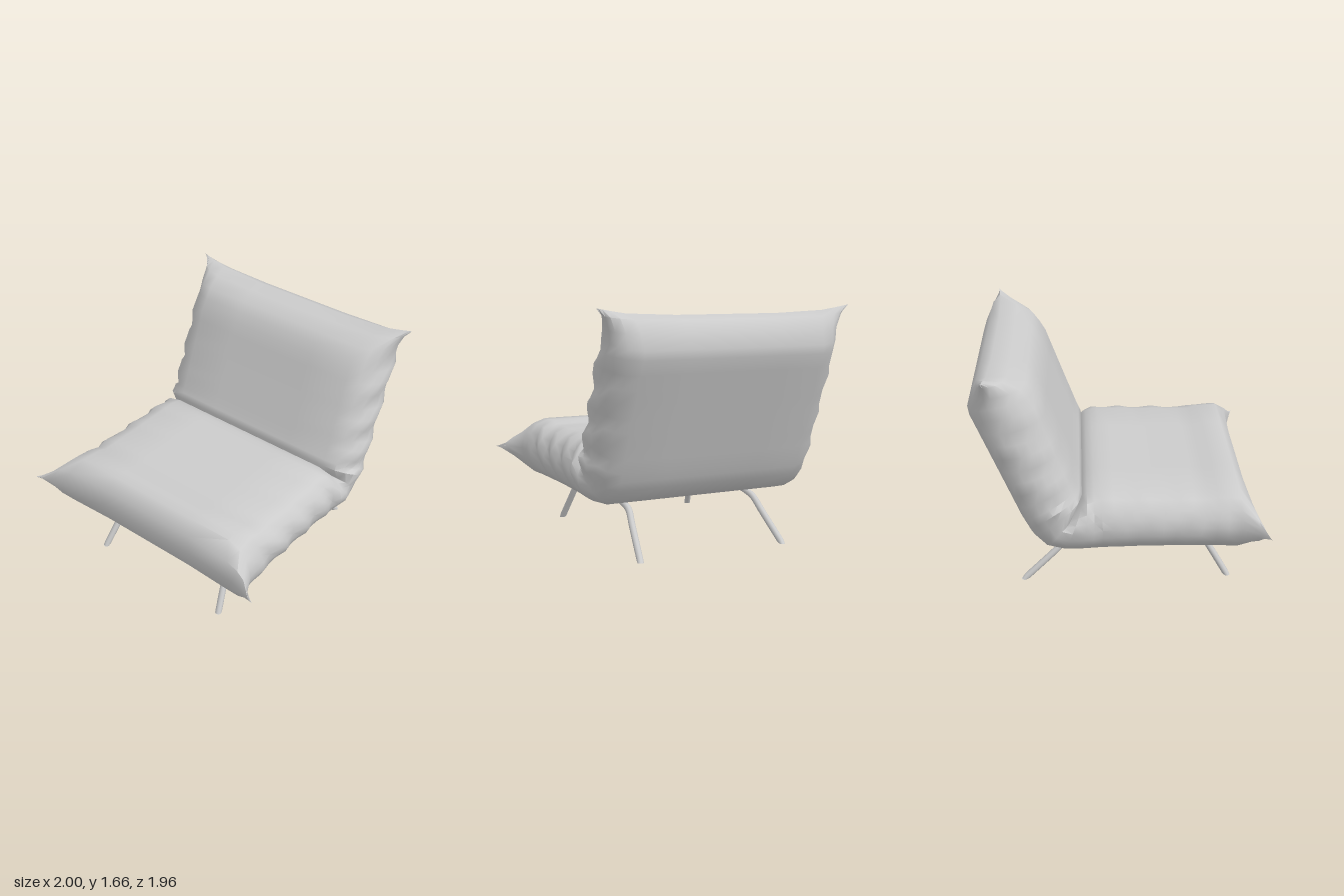
import * as THREE from 'three';
import { toCreasedNormals } from 'three/addons/utils/BufferGeometryUtils.js';

const grey = () => new THREE.MeshStandardMaterial({ color: 0xcccccc, side: THREE.DoubleSide });

// Stations from the seat's front seam to the backrest's top seam:
// upper surface z,y | seam z,y | lower surface z,y | half width
const stations = [
  [0.89, 0.56, 0.89, 0.56, 0.89, 0.56, 1.0],
  [0.87, 0.68, 0.88, 0.56, 0.87, 0.43, 0.92],
  [0.80, 0.775, 0.80, 0.56, 0.79, 0.34, 0.85],
  [0.65, 0.775, 0.64, 0.56, 0.64, 0.34, 0.835],
  [0.59, 0.755, 0.55, 0.56, 0.50, 0.34, 0.83],
  [0.20, 0.76, 0.20, 0.56, 0.20, 0.345, 0.83],
  [-0.13, 0.77, -0.12, 0.555, -0.12, 0.34, 0.83],
  [-0.22, 0.745, -0.23, 0.54, -0.27, 0.34, 0.84],
  [-0.25, 0.71, -0.32, 0.54, -0.38, 0.34, 0.84],
  [-0.31, 0.62, -0.39, 0.56, -0.51, 0.375, 0.84],
  [-0.255, 0.74, -0.42, 0.64, -0.60, 0.47, 0.85],
  [-0.29, 0.82, -0.47, 0.73, -0.66, 0.59, 0.85],
  [-0.39, 1.09, -0.59, 1.03, -0.81, 0.96, 0.845],
  [-0.51, 1.42, -0.74, 1.38, -0.965, 1.34, 0.84],
  [-0.55, 1.49, -0.78, 1.46, -0.975, 1.40, 0.835],
  [-0.60, 1.555, -0.81, 1.53, -0.945, 1.50, 0.845],
  [-0.71, 1.60, -0.83, 1.585, -0.90, 1.58, 0.875],
  [-0.83, 1.61, -0.83, 1.61, -0.83, 1.61, 0.92],
];

// Half of the upper cross-section: fraction of width, fraction of thickness
const roll = [[1, 0], [0.985, 0.3], [0.955, 0.58], [0.89, 0.85], [0.78, 1], [0.4, 1], [0, 1]];

// Insert in-between stations so that the gathered sides can ripple
function refine(rows) {
  const out = [];
  rows.forEach((row, i) => {
    out.push(row);
    const next = rows[i + 1];
    if (!next) return;
    const n = Math.ceil(Math.hypot(next[2] - row[2], next[3] - row[3]) / 0.1);
    for (let k = 1; k < n; k++) out.push(row.map((v, j) => v + (next[j] - v) * k / n));
  });
  return out;
}

function cushionGeometry() {
  const rows = refine(stations);
  const upper = [...roll, ...roll.slice(0, -1).reverse().map(([f, h]) => [-f, h])];
  const ring = [...upper, ...upper.slice(1, -1).reverse().map(([f, h]) => [f, -h])];
  const pos = [], index = [], n = ring.length;
  rows.forEach(([tz, ty, mz, my, bz, by, w], i) => {
    const fromFront = Math.max(0, 1 - i / 2);
    const fromTop = Math.max(0, 1 - (rows.length - 1 - i) / 2);
    const inner = i > 3 && i < rows.length - 4 ? 1 : 0;
    for (const [f, h] of ring) {
      const a = Math.abs(h), edge = Math.abs(f);
      const [sz, sy] = h >= 0 ? [tz, ty] : [bz, by];
      // pulled-out corners and rippled side seams
      const corner = Math.pow(Math.max(0, (edge - 0.62) / 0.38), 1.4);
      const ripple = inner * Math.max(0, (edge - 0.8) / 0.2) * 0.02 * Math.sin(i * 2.1 + Math.sign(f) + h * 3);
      pos.push(
        f * w + Math.sign(f) * ripple,
        my + (sy - my) * a + fromTop * corner * 0.05 + ripple * 0.6,
        mz + (sz - mz) * a + fromFront * corner * 0.09 - fromTop * corner * 0.03
      );
    }
  });
  for (let i = 0; i < rows.length - 1; i++) {
    for (let j = 0; j < n; j++) {
      const a = i * n + j, b = i * n + (j + 1) % n;
      index.push(a, a + n, b, b, a + n, b + n);
    }
  }
  const geo = new THREE.BufferGeometry();
  geo.setAttribute('position', new THREE.Float32BufferAttribute(pos, 3));
  geo.setIndex(index);
  // outward faces: the signed volume must be positive
  let volume = 0;
  const p = [new THREE.Vector3(), new THREE.Vector3(), new THREE.Vector3()];
  for (let i = 0; i < index.length; i += 3) {
    p.forEach((v, k) => v.fromArray(pos, index[i + k] * 3));
    volume += p[0].dot(p[1].clone().cross(p[2]));
  }
  if (volume < 0) geo.setIndex(index.reverse());
  return toCreasedNormals(geo, 0.95);
}

// One bent tube: front foot, rail under the seat, rear foot
function legFrame(side) {
  const group = new THREE.Group();
  const radius = 0.023, segments = 64, sides = 10;
  const path = new THREE.CatmullRomCurve3([
    [0.545, 0, 0.765], [0.505, 0.2, 0.645], [0.488, 0.295, 0.585], [0.483, 0.32, 0.55],
    [0.483, 0.323, 0.45], [0.483, 0.32, 0.1], [0.483, 0.316, -0.22], [0.484, 0.306, -0.28],
    [0.489, 0.28, -0.365], [0.505, 0.2, -0.45], [0.545, 0, -0.67],
  ].map(([x, y, z]) => new THREE.Vector3(side * x, y, z)), false, 'centripetal');
  const geo = new THREE.TubeGeometry(path, segments, radius, sides);
  // cut the feet level with the floor
  const pos = geo.attributes.position;
  for (let i = 0; i < pos.count; i++) {
    const ringNo = Math.floor(i / (sides + 1));
    if (ringNo === 0 || ringNo === segments) pos.setY(i, 0);
  }
  const rail = new THREE.Mesh(geo, grey());
  rail.name = 'legTube';
  group.add(rail);
  for (const z of [0.765, -0.67]) {
    const foot = new THREE.Mesh(new THREE.CircleGeometry(radius * 0.95, sides), grey());
    foot.rotation.x = Math.PI / 2;
    foot.position.set(side * 0.545, 0, z);
    foot.name = 'footCap';
    group.add(foot);
  }
  return group;
}

export function createModel() {
  const model = new THREE.Group();
  model.name = 'loungeChair';
  const cushion = new THREE.Mesh(cushionGeometry(), grey());
  cushion.name = 'seatAndBackCushion';
  model.add(cushion);
  for (const [side, name] of [[1, 'leftLegFrame'], [-1, 'rightLegFrame']]) {
    const legs = legFrame(side);
    legs.name = name;
    model.add(legs);
  }
  return model;
}
